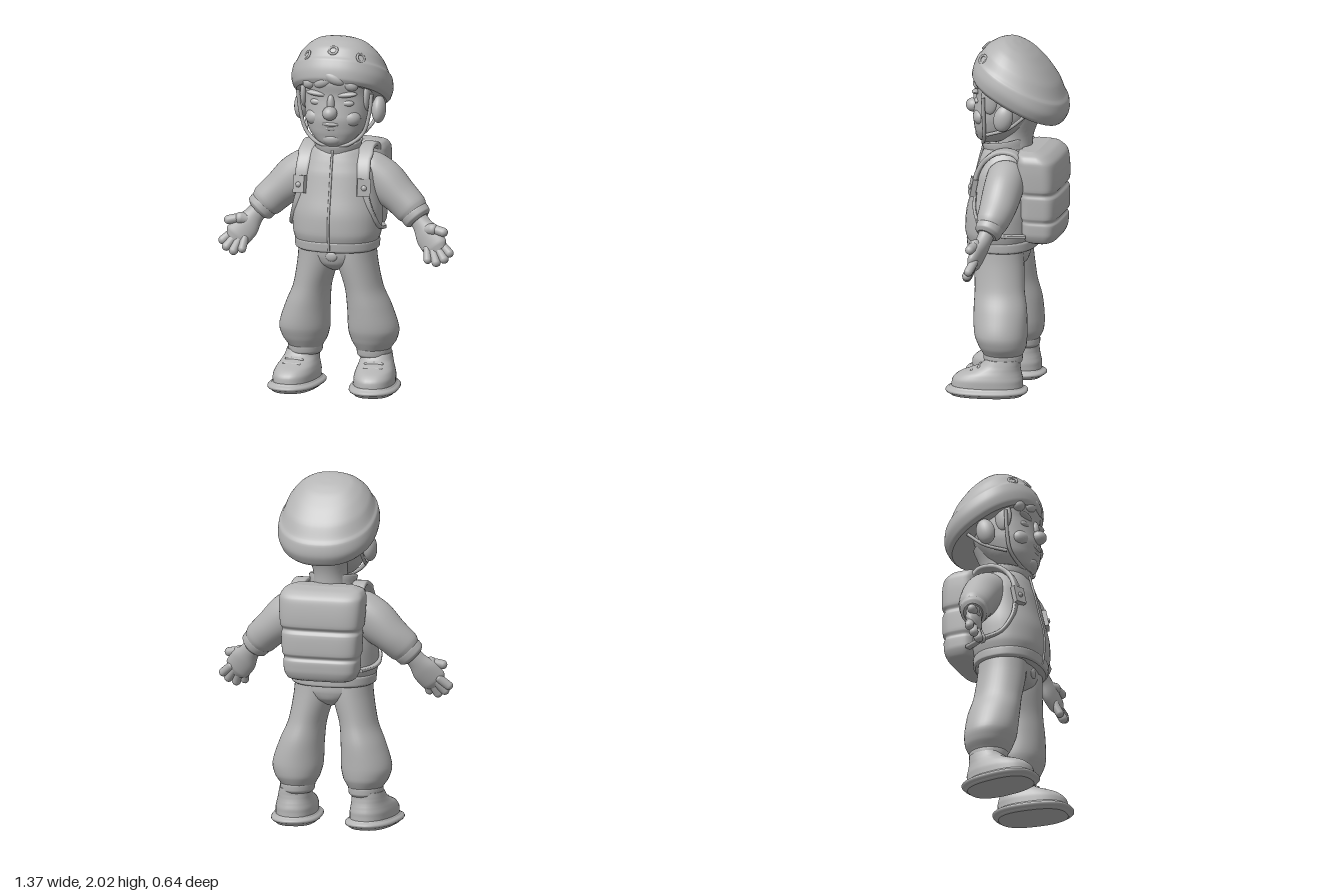
import * as THREE from 'three';

const grey = new THREE.MeshStandardMaterial({ color: 0xb4b4b4 });
grey.name = 'clay grey';

const V = (x, y, z) => new THREE.Vector3(x, y, z);

// Skin over cross-sections [x, y, z, halfWidth, halfDepth], smoothed between stations.
// ref is the axis used to orient the rings, p the roundness (2 ellipse, more = boxier).
function skin(rows, { ref = 'x', p = 2, n = 36, sub = 5, level = false } = {}) {
  const centre = new THREE.CatmullRomCurve3(rows.map(r => V(r[0], r[1], r[2])));
  const size = new THREE.CatmullRomCurve3(rows.map(r => V(r[3], r[4], 0)));
  const steps = (rows.length - 1) * sub;
  const pos = [], idx = [];
  for (let i = 0; i <= steps; i++) {
    const t = i / steps, c = centre.getPoint(t), s = size.getPoint(t);
    const T = level ? V(0, 1, 0) : centre.getTangent(t);
    const side = V(1, 0, 0), b = V(0, 0, 1);
    if (ref === 'x') {
      b.crossVectors(V(1, 0, 0), T).normalize();
      side.crossVectors(T, b);
    } else {
      side.crossVectors(T, V(0, 0, 1)).normalize();
      b.crossVectors(side, T);
    }
    for (let j = 0; j < n; j++) {
      const a = j / n * Math.PI * 2, ca = Math.cos(a), sa = Math.sin(a);
      const u = Math.sign(ca) * Math.abs(ca) ** (2 / p) * Math.max(s.x, 0.002);
      const v = Math.sign(sa) * Math.abs(sa) ** (2 / p) * Math.max(s.y, 0.002);
      const q = c.clone().addScaledVector(side, u).addScaledVector(b, v);
      pos.push(q.x, q.y, q.z);
    }
  }
  for (let i = 0; i < steps; i++) for (let j = 0; j < n; j++) {
    const a = i * n + j, d = i * n + (j + 1) % n;
    idx.push(a, a + n, d, d, a + n, d + n);
  }
  // separate end caps
  for (const [ring, c, top] of [[0, rows[0], false], [steps, rows[rows.length - 1], true]]) {
    const base = pos.length / 3;
    for (let j = 0; j < n; j++) pos.push(...pos.slice((ring * n + j) * 3, (ring * n + j) * 3 + 3));
    pos.push(c[0], c[1], c[2]);
    for (let j = 0; j < n; j++) {
      const a = base + j, d = base + (j + 1) % n;
      idx.push(base + n, top ? d : a, top ? a : d);
    }
  }
  const g = new THREE.BufferGeometry();
  g.setAttribute('position', new THREE.Float32BufferAttribute(pos, 3));
  g.setIndex(idx);
  g.computeVertexNormals();
  return g;
}

export function createModel() {
  const model = new THREE.Group();
  model.name = 'hikerFigure';
  const add = (name, geo, parent = model) => {
    const m = new THREE.Mesh(geo, grey);
    m.name = name;
    parent.add(m);
    return m;
  };
  const ball = (name, x, y, z, rx, ry, rz, parent) => {
    const m = add(name, new THREE.SphereGeometry(1, 24, 16), parent);
    m.position.set(x, y, z);
    m.scale.set(rx, ry, rz);
    return m;
  };
  const tube = (name, pts, r) =>
    add(name, new THREE.TubeGeometry(new THREE.CatmullRomCurve3(pts.map(q => V(...q))), 28, r, 8));
  const capsule = (name, a, b, r) => {
    const A = V(...a), B = V(...b), d = B.clone().sub(A);
    const m = add(name, new THREE.CapsuleGeometry(r, Math.max(d.length() - r, 0.01), 6, 14));
    m.position.copy(A).add(B).multiplyScalar(0.5);
    m.quaternion.setFromUnitVectors(V(0, 1, 0), d.normalize());
    return m;
  };
  const flat = { level: true };

  // Head and face
  add('head', skin([
    [0, 1.415, 0.13, 0.04, 0.05], [0, 1.44, 0.11, 0.1, 0.09], [0, 1.5, 0.075, 0.155, 0.14],
    [0, 1.58, 0.045, 0.183, 0.178], [0, 1.66, 0.025, 0.192, 0.185], [0, 1.71, 0.02, 0.194, 0.185],
    [0, 1.78, 0.02, 0.195, 0.195], [0, 1.86, 0.02, 0.15, 0.15]], { ...flat, p: 2.25 }));
  add('neck', skin([[0, 1.34, -0.01, 0.1, 0.1], [0, 1.45, -0.02, 0.095, 0.095], [0, 1.58, -0.05, 0.13, 0.11]], flat));
  ball('nose', 0, 1.617, 0.228, 0.042, 0.04, 0.045);
  ball('noseBridge', 0, 1.665, 0.205, 0.022, 0.055, 0.025);
  ball('upperLip', 0, 1.552, 0.208, 0.055, 0.014, 0.02);
  ball('lowerLip', 0, 1.525, 0.2, 0.042, 0.014, 0.022);
  ball('chin', 0, 1.462, 0.175, 0.06, 0.04, 0.04);
  for (const s of [-1, 1]) {
    ball('eyebrow', s * 0.085, 1.72, 0.187, 0.065, 0.016, 0.024).rotation.z = s * 0.12;
    ball('eyelid', s * 0.085, 1.67, 0.178, 0.042, 0.02, 0.022);
    ball('cheek', s * 0.1, 1.58, 0.155, 0.06, 0.05, 0.05);
    ball('ear', s * 0.225, 1.605, 0.0, 0.04, 0.078, 0.055).rotation.x = -0.25;
    ball('sideburn', s * 0.183, 1.7, 0.09, 0.022, 0.085, 0.05);
    // helmet straps beside the ear and under the chin
    tube('chinStrap', [[s * 0.215, 1.72, 0.12], [s * 0.2, 1.6, 0.12], [s * 0.165, 1.49, 0.125],
      [s * 0.09, 1.428, 0.15], [0, 1.412, 0.165]], 0.011);
    tube('rearStrap', [[s * 0.2, 1.62, -0.12], [s * 0.195, 1.54, -0.02], [s * 0.17, 1.49, 0.11]], 0.01);
  }
  // fringe curls
  [[-0.045, 1.79, 0.06, 0.4], [0.015, 1.815, 0.07, -0.4], [0.1, 1.775, 0.05, -0.3], [-0.13, 1.775, 0.045, 0.3]]
    .forEach(([x, y, r, t]) => { ball('hairCurl', x, y, 0.2 - Math.abs(x) * 0.3, r, 0.035, 0.035).rotation.z = t; });

  // Helmet, tipped backwards
  const helmet = new THREE.Group();
  helmet.name = 'helmet';
  helmet.position.set(0, 1.67, -0.025);
  helmet.rotation.x = -0.47;
  model.add(helmet);
  add('helmetShell', skin([
    [0, 0, -0.005, 0.25, 0.275], [0, 0.02, 0, 0.272, 0.29], [0, 0.07, 0.008, 0.285, 0.297],
    [0, 0.125, 0.025, 0.277, 0.283], [0, 0.145, 0.035, 0.262, 0.265], [0, 0.2, 0.06, 0.235, 0.228],
    [0, 0.25, 0.088, 0.19, 0.168], [0, 0.285, 0.112, 0.135, 0.105], [0, 0.3, 0.125, 0.07, 0.05],
    [0, 0.304, 0.13, 0.002, 0.002]], { ...flat, p: 2.25, n: 48 }), helmet);
  for (const [x, y, z] of [[0, 1.965, 0.155], [-0.155, 1.925, 0.135], [0.155, 1.925, 0.135]]) {
    const vent = add('helmetVent', new THREE.TorusGeometry(0.024, 0.007, 8, 20));
    vent.position.set(x, y, z);
    vent.lookAt(x * 2.2, y + 0.12, z + 0.12);
  }

  // Jacket
  add('jacketBody', skin([
    [0, 0.85, 0.06, 0.23, 0.185], [0, 0.92, 0.06, 0.25, 0.203], [0, 1.02, 0.055, 0.254, 0.203],
    [0, 1.15, 0.04, 0.24, 0.188], [0, 1.26, 0.035, 0.225, 0.168], [0, 1.33, 0.03, 0.19, 0.15],
    [0, 1.38, 0.03, 0.15, 0.13], [0, 1.41, 0.03, 0.1, 0.1]], { ...flat, p: 2.3 }));
  add('jacketHem', skin([
    [0, 0.815, 0.055, 0.225, 0.185], [0, 0.825, 0.055, 0.238, 0.196], [0, 0.865, 0.057, 0.24, 0.198],
    [0, 0.88, 0.058, 0.23, 0.19]], { ...flat, p: 2.3 }));
  const collar = add('collar', new THREE.LatheGeometry([[0.135, -0.07], [0.128, -0.02], [0.132, 0.03],
    [0.138, 0.055], [0.132, 0.064], [0.122, 0.055], [0.112, 0]].map(q => new THREE.Vector2(...q)), 40));
  collar.position.set(0, 1.375, 0.033);
  collar.rotation.x = 0.17;
  tube('zip', [[0, 1.39, 0.171], [0, 1.26, 0.204], [0, 1.15, 0.228], [0, 1.02, 0.258], [0, 0.92, 0.262], [0, 0.83, 0.25]], 0.007);

  // Trouser seat
  add('trouserSeat', skin([[0, 0.69, 0.05, 0.03, 0.07], [0, 0.73, 0.05, 0.14, 0.13], [0, 0.78, 0.05, 0.215, 0.147],
    [0, 0.85, 0.055, 0.215, 0.15]], flat));
  ball('flyFold', 0, 0.785, 0.19, 0.035, 0.03, 0.015);

  for (const s of [-1, 1]) {
    const m = rows => rows.map(([x, ...rest]) => [s * x, ...rest]);
    // Leg
    add('trouserLeg', skin(m([
      [0.11, 0.84, 0.055, 0.11, 0.14], [0.115, 0.74, 0.05, 0.114, 0.142], [0.147, 0.6, 0.04, 0.107, 0.142],
      [0.178, 0.48, 0.028, 0.125, 0.152], [0.2, 0.35, 0.02, 0.144, 0.15], [0.2, 0.28, 0.01, 0.128, 0.135],
      [0.197, 0.235, 0.008, 0.1, 0.112], [0.197, 0.215, 0.008, 0.09, 0.1]]).reverse(), flat));
    add('trouserCuff', skin(m([[0.2, 0.185, 0.005, 0.085, 0.098], [0.2, 0.2, 0.006, 0.096, 0.11],
      [0.199, 0.23, 0.007, 0.098, 0.112], [0.198, 0.25, 0.008, 0.09, 0.1]]), flat));
    // Shoe, toes turned slightly out
    const shoe = new THREE.Group();
    shoe.name = 'shoe';
    shoe.position.x = s * 0.215;
    shoe.rotation.y = s * 0.12;
    model.add(shoe);
    add('sole', skin([[0, 0, 0.095, 0.113, 0.2], [0, 0.012, 0.095, 0.124, 0.212], [0, 0.045, 0.095, 0.124, 0.212],
      [0, 0.055, 0.095, 0.115, 0.2]], { ...flat, p: 2.5 }), shoe);
    add('shoeUpper', skin([[0, 0.045, 0.093, 0.116, 0.203], [0, 0.09, 0.09, 0.116, 0.2], [0, 0.125, 0.075, 0.108, 0.178],
      [0, 0.15, 0.045, 0.099, 0.142], [0, 0.175, 0.018, 0.092, 0.112], [0, 0.21, 0.003, 0.085, 0.096]], { ...flat, p: 2.4 }), shoe);
    for (const [y, z] of [[0.145, 0.175], [0.165, 0.135]])
      add('lace', new THREE.CapsuleGeometry(0.01, 0.09, 4, 8).rotateZ(Math.PI / 2).translate(0, y, z), shoe);

    // Arm
    add('sleeve', skin(m([
      [0.12, 1.27, 0, 0.06, 0.08], [0.17, 1.255, -0.005, 0.11, 0.108], [0.25, 1.195, -0.005, 0.122, 0.11],
      [0.35, 1.11, 0.003, 0.103, 0.102], [0.42, 1.045, 0.018, 0.096, 0.088], [0.45, 1.015, 0.025, 0.075, 0.07]]), { ref: 'z' }));
    add('sleeveCuff', skin(m([[0.425, 1.04, 0.02, 0.07, 0.065], [0.437, 1.025, 0.023, 0.086, 0.078],
      [0.46, 1.0, 0.03, 0.083, 0.074], [0.472, 0.987, 0.034, 0.06, 0.055]]), { ref: 'z' }));
    add('palm', skin(m([[0.45, 1.01, 0.03, 0.05, 0.045], [0.49, 0.96, 0.045, 0.056, 0.043], [0.535, 0.9, 0.065, 0.078, 0.04],
      [0.575, 0.85, 0.083, 0.076, 0.034], [0.595, 0.825, 0.092, 0.05, 0.022]]), { ref: 'z' }));
    [['finger', 0.6, 0.87, 0.07, 0.668, 0.812, 0.095, 0.025], ['finger', 0.585, 0.85, 0.08, 0.64, 0.778, 0.112, 0.026],
      ['finger', 0.56, 0.84, 0.085, 0.594, 0.757, 0.122, 0.026], ['finger', 0.53, 0.85, 0.085, 0.542, 0.77, 0.122, 0.024],
      ['thumb', 0.515, 0.94, 0.06, 0.575, 0.952, 0.085, 0.034], ['thumb', 0.57, 0.95, 0.08, 0.637, 0.936, 0.095, 0.026]]
      .forEach(([name, x, y, z, X, Y, Z, r]) => capsule(name, [s * x, y, z], [s * X, Y, Z], r));

    // Backpack straps and buckle
    add('shoulderStrap', skin(m([[0.175, 1.3, -0.12, 0.04, 0.014], [0.175, 1.39, -0.06, 0.04, 0.014], [0.17, 1.395, 0.04, 0.04, 0.014],
      [0.172, 1.34, 0.12, 0.04, 0.014], [0.178, 1.27, 0.16, 0.038, 0.014], [0.182, 1.19, 0.175, 0.034, 0.014]]), { p: 4, n: 20 }));
    const buckle = add('strapBuckle', new THREE.BoxGeometry(0.075, 0.1, 0.03));
    buckle.position.set(s * 0.185, 1.19, 0.185);
    buckle.rotation.set(-0.2, s * 0.4, 0);
    ball('buckleStud', s * 0.191, 1.19, 0.2, 0.016, 0.016, 0.012);
    add('lowerStrap', skin(m([[0.187, 1.16, 0.17, 0.02, 0.01], [0.215, 1.06, 0.165, 0.02, 0.01],
      [0.245, 0.96, 0.11, 0.02, 0.01], [0.25, 0.93, 0, 0.02, 0.01], [0.2, 0.92, -0.12, 0.02, 0.01]]), { p: 4, n: 16 }));
  }

  // Backpack with two creases
  add('backpack', skin([
    [0, 0.87, -0.185, 0.15, 0.05], [0, 0.885, -0.187, 0.19, 0.085], [0, 0.93, -0.187, 0.212, 0.104],
    [0, 0.985, -0.187, 0.216, 0.106], [0, 1.005, -0.183, 0.212, 0.1], [0, 1.03, -0.187, 0.222, 0.11],
    [0, 1.14, -0.186, 0.228, 0.11], [0, 1.165, -0.18, 0.222, 0.102], [0, 1.19, -0.184, 0.234, 0.113],
    [0, 1.29, -0.178, 0.242, 0.117], [0, 1.35, -0.17, 0.242, 0.113], [0, 1.39, -0.148, 0.222, 0.09],
    [0, 1.408, -0.13, 0.17, 0.05]], { ...flat, p: 4, n: 48 }));

  return model;
}
